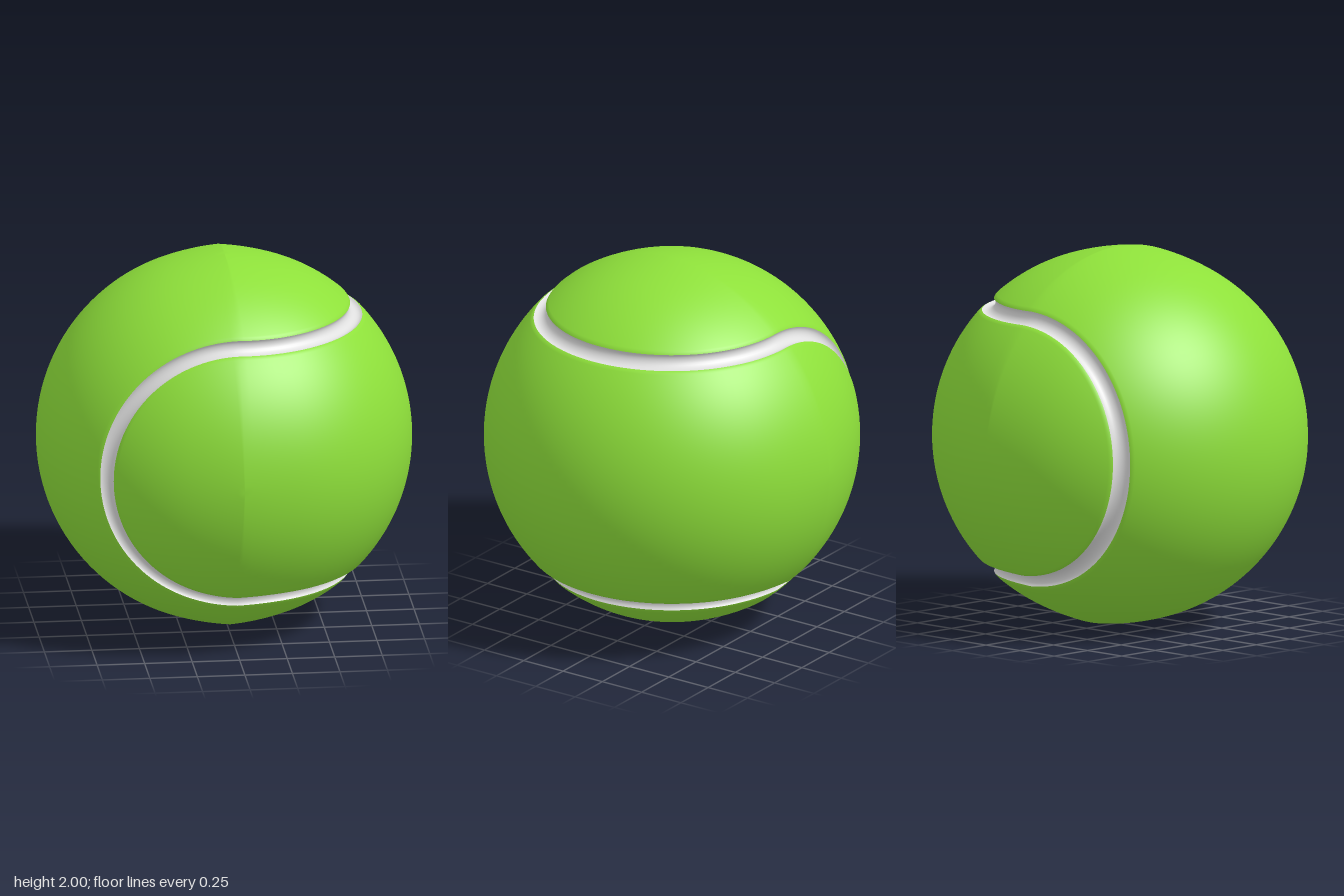
import * as THREE from 'three';
import { mergeVertices } from 'three/addons/utils/BufferGeometryUtils.js';

const R = 0.984;        // ball radius
const HALF = 0.046;     // half width of the seam groove, in radians
const DEPTH = 0.036;    // groove depth
const LIP = 0.025;      // rounded felt edge beside the groove
const Q = Math.PI / 4;  // angle from the seam to the middle of a panel
const SEG = 64;         // steps along each of the four seam arcs

// Unit direction: arc k (0..3) of the closed seam, t along it, a across it (a = Q on the seam)
function direction(k, t, a) {
  const s = Math.sin(a), c = Math.cos(a), st = Math.sin(t), ct = Math.cos(t);
  const sign = k < 2 ? 1 : -1;
  return k % 2 === 0
    ? new THREE.Vector3(-s * st, sign * s * ct, sign * c)
    : new THREE.Vector3(c * st, -sign * s, sign * c * ct);
}

// Closed band swept along the whole seam; each row is { d: angle from seam, drop: inset }
function sweep(rows) {
  const positions = [], index = [], n = rows.length;
  for (let k = 0; k < 4; k++) {
    for (let j = 0; j <= SEG; j++) {
      for (const { d, drop } of rows) {
        const v = direction(k, (Math.PI * j) / SEG, Q + d);
        // slight ridge where the arcs meet, at x = 0
        const ridge = (0.006 + (0.01 * Math.abs(d)) / Q) * Math.max(0, 1 - Math.abs(v.x) / 0.3) ** 2;
        v.multiplyScalar(R + ridge - drop);
        positions.push(v.x, v.y, v.z);
      }
      if (j === SEG) continue;
      for (let i = 0; i < n - 1; i++) {
        const a = (k * (SEG + 1) + j) * n + i;
        index.push(a, a + 1, a + n, a + 1, a + n + 1, a + n);
      }
    }
  }
  const geometry = new THREE.BufferGeometry();
  geometry.setAttribute('position', new THREE.Float32BufferAttribute(positions, 3));
  geometry.setIndex(index);
  const welded = mergeVertices(geometry, 1e-5);
  welded.computeVertexNormals();
  return welded;
}

const lipDrop = (e) => 0.005 * Math.max(0, 1 - e / LIP) ** 2;

// Rows of one felt panel, from the groove edge to the panel middle
function panelRows(side) {
  const edges = [0, 0.004, 0.009, 0.016];
  for (let i = 0; i <= 20; i++) edges.push(LIP + ((Q - HALF - LIP) * i) / 20);
  const rows = edges.map((e) => ({ d: side * (HALF + e), drop: lipDrop(e) }));
  return side < 0 ? rows.reverse() : rows;
}

// Rows of the rounded groove
function grooveRows() {
  const rows = [];
  for (let i = 0; i <= 12; i++) {
    const a = (Math.PI * i) / 12;
    rows.push({ d: -HALF * Math.cos(a), drop: lipDrop(0) + DEPTH * Math.sin(a) });
  }
  return rows;
}

export function createModel() {
  const felt = new THREE.MeshStandardMaterial({ color: 0x8ee03a });
  felt.name = 'green felt';
  const rubber = new THREE.MeshStandardMaterial({ color: 0xe0e0e0 });
  rubber.name = 'white rubber';

  const ball = new THREE.Group();
  ball.name = 'ball';
  const add = (name, rows, material) => {
    const mesh = new THREE.Mesh(sweep(rows), material);
    mesh.name = name;
    mesh.position.y = 1;
    ball.add(mesh);
  };
  add('frontBackPanel', panelRows(-1), felt);
  add('topBottomPanel', panelRows(1), felt);
  add('seam', grooveRows(), rubber);
  return ball;
}
